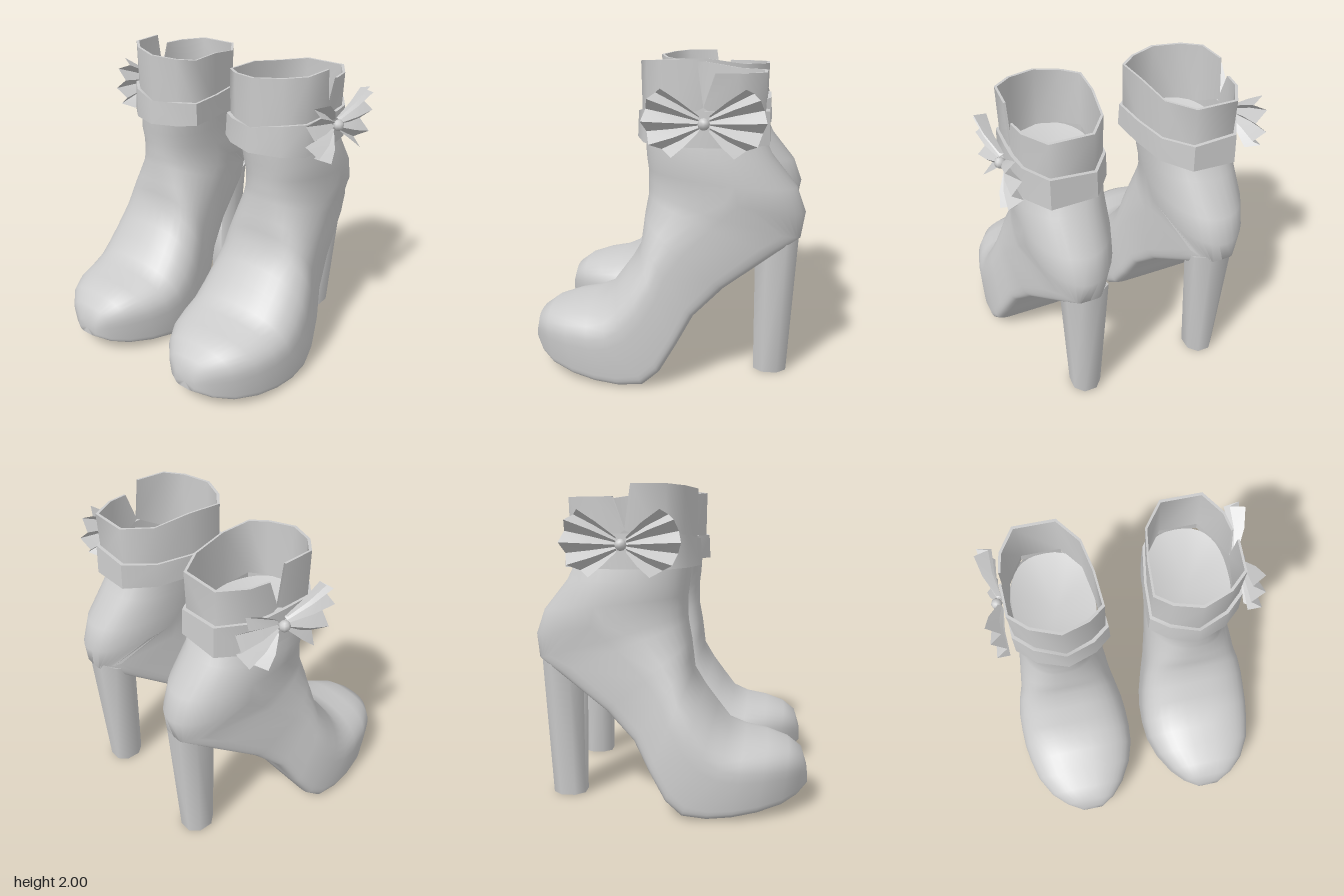
import * as THREE from 'three';
import { toCreasedNormals } from 'three/addons/utils/BufferGeometryUtils.js';

const mat = new THREE.MeshStandardMaterial({ color: 0xcccccc });
const matThin = new THREE.MeshStandardMaterial({ color: 0xcccccc, side: THREE.DoubleSide });
const { lerp } = THREE.MathUtils;

// Skin over rings of [x, y, z] points; optional fan caps at given centres
function loft(rings, { open = false, capStart, capEnd } = {}) {
  const n = rings[0].length, pos = rings.flat(2), idx = [];
  for (let i = 0; i < rings.length - 1; i++) {
    for (let j = 0; j < (open ? n - 1 : n); j++) {
      const k = (j + 1) % n, a = i * n, b = a + n;
      idx.push(a + j, b + j, a + k, b + j, b + k, a + k);
    }
  }
  const cap = (centre, base, flip) => {
    const c = pos.length / 3;
    pos.push(...centre);
    for (let j = 0; j < n; j++) {
      const k = (j + 1) % n;
      idx.push(c, base + (flip ? k : j), base + (flip ? j : k));
    }
  };
  if (capStart) cap(capStart, 0, false);
  if (capEnd) cap(capEnd, (rings.length - 1) * n, true);
  const g = new THREE.BufferGeometry();
  g.setAttribute('position', new THREE.Float32BufferAttribute(pos, 3));
  g.setIndex(idx);
  return g;
}

// Boot sections, toe to ankle: front z,y | back z,y | x min,max
const sections = [
  [.866, .25, .87, .14, .37, .53],
  [.835, .35, .8, .1, .28, .63],
  [.75, .41, .7, .065, .195, .73],
  [.62, .45, .55, .035, .115, .81],
  [.48, .475, .4, .012, .07, .85],
  [.38, .52, .25, .002, .06, .87],
  [.30, .63, .1, .015, .065, .87],
  [.22, .74, 0, .1, .08, .86],
  [.15, .86, -.1, .27, .11, .83],
  [.14, .96, -.2, .45, .135, .79],
  [.13, 1.05, -.38, .62, .155, .765],
  [.11, 1.17, -.7, .84, .18, .73],
  [.11, 1.22, -.84, .92, .185, .73],
  [.11, 1.27, -.868, 1.07, .185, .725],
  [.11, 1.33, -.81, 1.23, .185, .725],
  [.12, 1.41, -.655, 1.42, .18, .725],
  [.135, 1.6, -.57, 1.6, .17, .69]
];
const seat = 12; // section at the back end of the sole

function bootBody() {
  const N = 36;
  const rings = sections.map(([az, ay, bz, by, x0, x1], i) => {
    // rounded over the top; square sole edge up to the heel seat, then a round heel counter
    const front = lerp(.75, .84, Math.min(1, i / 6));
    const back = i === 0 ? .5 : i <= seat ? .17 : lerp(1, .8, (i - seat - 1) / 3);
    const taper = i > 8 && i <= seat ? .7 * ((i - 8) / 4) ** 2 : 0;
    return Array.from({ length: N }, (_, j) => {
      const t = j / N * Math.PI * 2, c = Math.cos(t), s = Math.sin(t);
      const e = s >= 0 ? front : back;
      const w = Math.sign(s) * Math.abs(s) ** e;
      const u = Math.sign(c) * Math.abs(c) ** e * (s < 0 ? 1 - taper * w * w : 1);
      return [lerp(x0, x1, (1 + u) / 2), lerp(by, ay, (1 + w) / 2), lerp(bz, az, (1 + w) / 2)];
    });
  });
  return loft(rings, { capStart: [.45, .195, .87], capEnd: [.43, 1.5, -.2] });
}

// Ankle outline x,z, running from the side notch round to it again
const ankle = [
  [.71, -.21], [.70, 0], [.59, .1], [.41, .165], [.24, .11], [.14, .03],
  [.155, -.2], [.195, -.44], [.32, -.61], [.59, -.61], [.69, -.45], [.71, -.32]
];
const scaled = (x, z, s) => [.42 + (x - .42) * s, -.22 + (z + .22) * s];

function collar() {
  const last = ankle.length - 1;
  const ring = (s, top) => ankle.map(([x, z], i) => {
    // both ends meet at the foot of the notch; the back flap is lower
    const notch = !top && (i === 0 || i === last);
    const [px, pz] = scaled(x, notch ? -.25 : z, s);
    const rim = z < -.3 ? 1.925 : 1.95 + .07 * x;
    return [px, top ? rim : notch ? 1.73 : 1.6, pz];
  });
  return loft([ring(.98, false), ring(1, true), ring(.95, true), ring(.93, false)], { open: true });
}

// Strap round the ankle with a dent at the front of its top edge
function strap() {
  const ring = (s, inner, outer, dent = 0) => ankle.map(([x, z], i) => {
    const [px, pz] = scaled(x, z, s);
    return [px, lerp(inner, outer, (px - .12) / .6) - (i === 3 ? dent : 0), pz];
  });
  const rings = [ring(.98, 1.53, 1.51), ring(1.065, 1.52, 1.5), ring(1.045, 1.67, 1.71, .015), ring(.97, 1.67, 1.71, .03)];
  return loft([...rings, rings[0]]);
}

// Tapered heel with chamfered corners
function heel() {
  const k = .45;
  const ring = (hw, zf, yf, zb, yb) =>
    [[1, k], [k, 1], [-k, 1], [-1, k], [-1, -k], [-k, -1], [k, -1], [1, -k]].map(([u, v]) => {
      const f = (v + 1) / 2;
      return [.44 + u * hw, lerp(yb, yf, f), lerp(zb, zf, f)];
    });
  return loft([ring(.095, -.57, .005, -.78, .005), ring(.14, -.563, .84, -.832, .96)],
    { capStart: [.44, .005, -.675], capEnd: [.44, .9, -.7] });
}

// Pleated fan: rim points (offset from knot, y) with alternating depth, gathered at the knot
const fanRim = [[.24, 1.85], [.32, 1.79], [.36, 1.66], [.31, 1.53], [.18, 1.46]];
function bowFan(dir) {
  const n = fanRim.length * 2 - 1;
  const outer = [], mid = [], inner = [];
  for (let j = 0; j < n; j++) {
    const a = fanRim[Math.floor(j / 2)], b = fanRim[Math.ceil(j / 2)], f = j / (n - 1);
    const fold = j % 2 ? 0 : 1;
    const z = -.26 + dir * (a[0] + b[0]) / 2, y = (a[1] + b[1]) / 2;
    const root = [.74 + fold * .025, lerp(1.69, 1.6, f), -.26 + dir * .03];
    const tip = [.74 + fold * .08 + Math.abs(f - .5) * .05, y, z];
    inner.push(root);
    mid.push([lerp(root[0], tip[0], .55) + .012, lerp(root[1], y, .55), lerp(root[2], z, .5)]);
    outer.push(tip);
  }
  return loft([inner, mid, outer], { open: true });
}

// Small knot in the middle of the bow
function knot() {
  return new THREE.SphereGeometry(.036, 8, 6).translate(.775, 1.645, -.26);
}

// Place a part on the left (side 1) or mirrored on the right (side -1)
function part(name, geometry, material, side, crease) {
  if (side < 0) {
    const p = geometry.attributes.position, idx = geometry.index.array;
    for (let i = 0; i < p.count; i++) p.setX(i, -p.getX(i));
    for (let i = 0; i < idx.length; i += 3) [idx[i + 1], idx[i + 2]] = [idx[i + 2], idx[i + 1]];
  }
  const mesh = new THREE.Mesh(toCreasedNormals(geometry, crease), material);
  mesh.name = name;
  return mesh;
}

export function createModel() {
  const model = new THREE.Group();
  model.name = 'ankleBoots';
  for (const side of [1, -1]) {
    const boot = new THREE.Group();
    boot.name = side > 0 ? 'leftBoot' : 'rightBoot';
    const bow = new THREE.Group();
    bow.name = 'bow';
    bow.add(
      part('frontBowFan', bowFan(1), matThin, side, 0.8),
      part('backBowFan', bowFan(-1), matThin, side, 0.8),
      part('bowKnot', knot(), mat, side, 1.2));
    boot.add(
      part('bootBody', bootBody(), mat, side, 0.9),
      part('collar', collar(), matThin, side, 1.1),
      part('ankleStrap', strap(), matThin, side, 0.8),
      part('heel', heel(), mat, side, 1.2),
      bow);
    model.add(boot);
  }
  return model;
}
